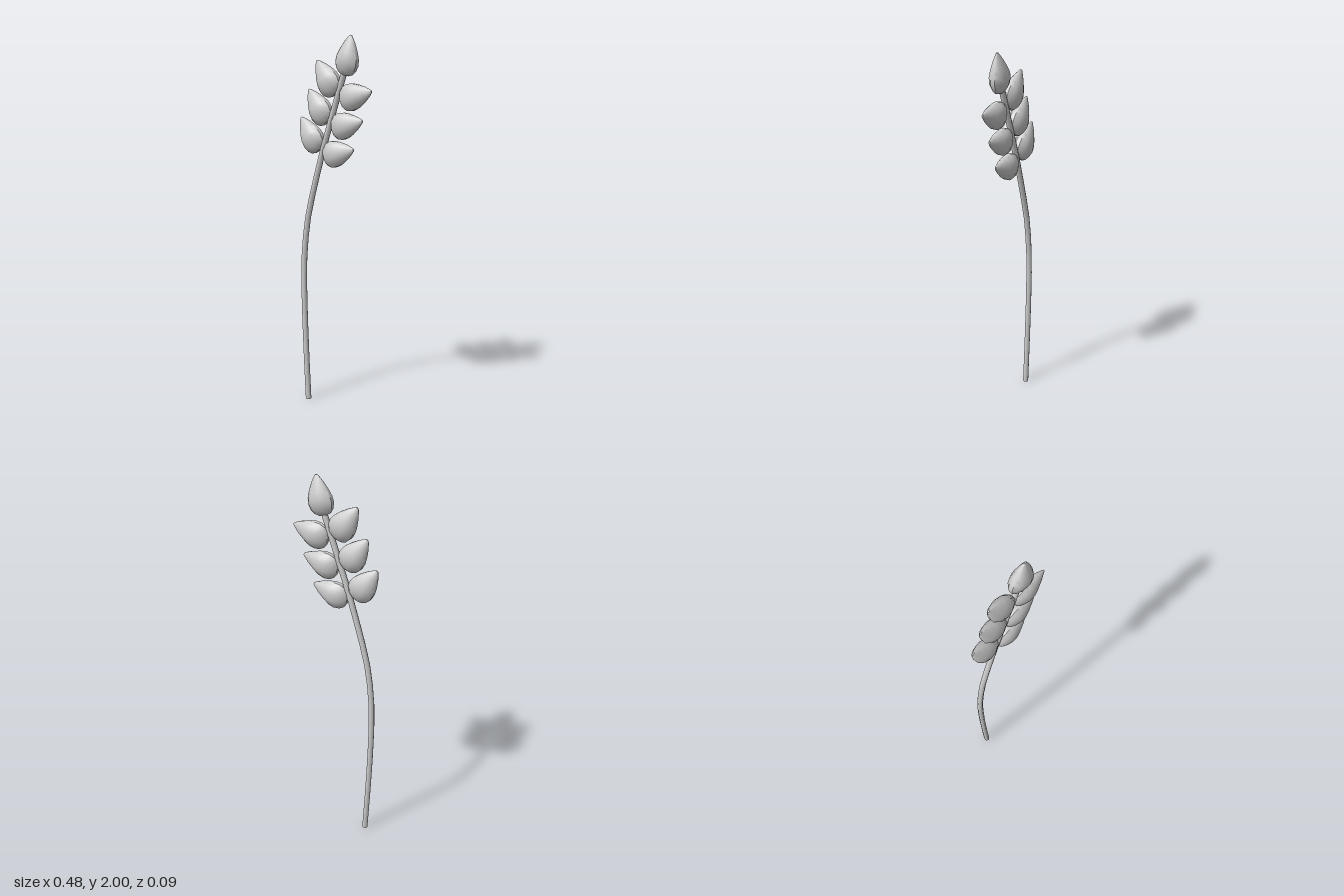
import * as THREE from 'three';
import { toCreasedNormals } from 'three/addons/utils/BufferGeometryUtils.js';

const material = new THREE.MeshStandardMaterial({ color: 0xcccccc });

// Teardrop grain of length 1 along +y: [height, half width, half depth]
const grainProfile = [
  [0, 0, 0],
  [0, 0.12, 0.06],
  [0.05, 0.23, 0.11],
  [0.15, 0.31, 0.17],
  [0.3, 0.35, 0.22],
  [0.45, 0.33, 0.22],
  [0.6, 0.275, 0.18],
  [0.8, 0.175, 0.11],
  [0.93, 0.09, 0.05],
  [1, 0.035, 0.02],
  [1, 0, 0],
];

function grainGeometry() {
  const points = grainProfile.map(([y, w]) => new THREE.Vector2(w, y));
  const geometry = new THREE.LatheGeometry(points, 12, Math.PI / 12);
  // Flatten each ring to its own depth
  const position = geometry.attributes.position;
  for (let i = 0; i < position.count; i++) {
    const [, w, d] = grainProfile[i % grainProfile.length];
    if (w > 0) position.setZ(i, position.getZ(i) * d / w);
  }
  return toCreasedNormals(geometry, 0.68);
}

function stem() {
  const group = new THREE.Group();
  group.name = 'stem';
  const path = new THREE.CatmullRomCurve3([
    [-0.195, 0], [-0.21, 0.3], [-0.22, 0.6], [-0.218, 0.82], [-0.188, 1.05],
    [-0.138, 1.23], [-0.082, 1.41], [-0.008, 1.62], [0.068, 1.83],
  ].map(([x, y]) => new THREE.Vector3(x, y, 0)));
  const stalk = new THREE.Mesh(new THREE.TubeGeometry(path, 16, 0.0155, 8), material);
  stalk.name = 'stalk';
  const cap = new THREE.Mesh(new THREE.CircleGeometry(0.0155, 8), material);
  cap.name = 'stalkEnd';
  cap.rotation.x = Math.PI / 2;
  cap.position.set(-0.195, 0, 0);
  group.add(stalk, cap);
  return group;
}

export function createModel() {
  const model = new THREE.Group();
  model.name = 'grainStalk';
  model.add(stem());

  const geometry = grainGeometry();
  const addGrain = (name, x0, y0, x1, y1) => {
    const grain = new THREE.Mesh(geometry, material);
    grain.name = name;
    grain.position.set(x0, y0, 0);
    grain.rotation.z = Math.atan2(y1 - y0, x1 - x0) - Math.PI / 2;
    grain.scale.setScalar(Math.hypot(x1 - x0, y1 - y0));
    model.add(grain);
  };

  // Three pairs of side grains stepping up the stem, and one at the tip
  for (let i = 0; i < 3; i++) {
    const x = i * 0.056, y = i * 0.147;
    addGrain('leftGrain' + (i + 1), -0.07 + x, 1.385 + y, 0.124 + x, 1.435 + y);
    addGrain('rightGrain' + (i + 1), -0.108 + x, 1.412 + y, -0.232 + x, 1.575 + y);
  }
  addGrain('topGrain', 0.068, 1.802, 0.105, 1.996);
  return model;
}
